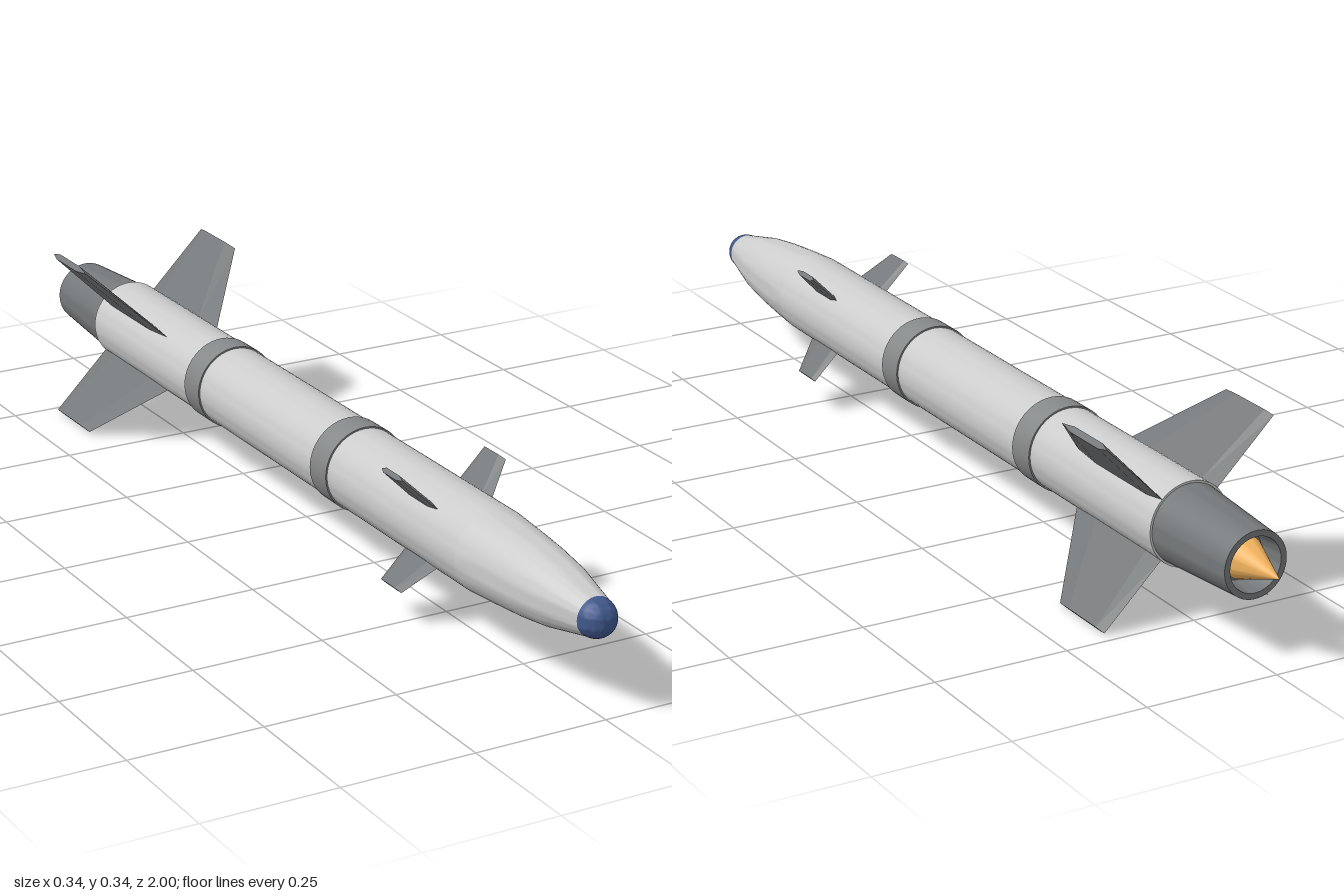
import * as THREE from 'three';
import { toCreasedNormals } from 'three/addons/utils/BufferGeometryUtils.js';

const AXIS_Y = 0.169;
const paint = (color) => new THREE.MeshStandardMaterial({ color });

// Surface of revolution about z from [radius, z] points, listed back to front
function turned(name, points, material) {
  const profile = points.map(([r, z]) => new THREE.Vector2(r, z));
  const geo = new THREE.LatheGeometry(profile, 48).rotateX(Math.PI / 2);
  const mesh = new THREE.Mesh(toCreasedNormals(geo, 0.5), material);
  mesh.name = name;
  return mesh;
}

// Fin with a six-sided section, lofted outward along +x from root to tip
function finGeometry({ root, tip, back, rootFront, tipFront, thickness }) {
  const section = [[0, 0], [0.15, 1], [0.75, 1], [1, 0], [0.75, -1], [0.15, -1]];
  const n = section.length;
  const positions = [];
  for (const [x, front] of [[root, rootFront], [tip, tipFront]]) {
    for (const [t, side] of section) {
      positions.push(x, side * thickness / 2, back + (front - back) * t);
    }
  }
  const index = [];
  for (let i = 0; i < n; i++) {
    const j = (i + 1) % n;
    index.push(i, j, n + j, i, n + j, n + i);
  }
  for (let i = 1; i < n - 1; i++) {
    index.push(0, i + 1, i, n, n + i, n + i + 1);
  }
  const geo = new THREE.BufferGeometry();
  geo.setAttribute('position', new THREE.Float32BufferAttribute(positions, 3));
  geo.setIndex(index);
  return toCreasedNormals(geo, 0.05);
}

// Four fins in an X arrangement
function finSet(name, spec, material) {
  const set = new THREE.Group();
  set.name = name + 's';
  const geo = finGeometry(spec);
  for (let i = 0; i < 4; i++) {
    const fin = new THREE.Mesh(geo, material);
    fin.name = name;
    fin.rotation.z = Math.PI / 4 + i * Math.PI / 2;
    set.add(fin);
  }
  return set;
}

export function createModel() {
  const model = new THREE.Group();
  model.name = 'missile';
  const grey = paint(0xcccccc);
  const darkGrey = paint(0x858889);
  const finGrey = paint(0x75787a);

  // Body tube and curved nose
  model.add(turned('body', [[0, -0.73], [0.078, -0.73], [0.078, 0.65], [0, 0.65]], grey));
  model.add(turned('nose', [
    [0.078, 0.65], [0.073, 0.72], [0.067, 0.79], [0.058, 0.86], [0.036, 0.96], [0, 0.96],
  ], grey));

  // Seeker dome
  const dome = [];
  for (let i = 0; i <= 10; i++) {
    const a = i / 10 * Math.PI / 2;
    dome.push([0.036 * Math.cos(a), 0.96 + 0.04 * Math.sin(a)]);
  }
  model.add(turned('seekerDome', dome, paint(0x40588c)));

  // Raised bands
  for (const z of [0.185, -0.305]) {
    const [a, b] = [z - 0.029, z + 0.029];
    model.add(turned('band', [[0.077, a], [0.081, a], [0.081, b], [0.077, b]], darkGrey));
  }

  // Hollow nozzle with the exhaust cone inside
  model.add(turned('nozzle', [
    [0, -0.88], [0.045, -0.88], [0.05, -0.93], [0.061, -0.93], [0.074, -0.73], [0, -0.73],
  ], finGrey));
  model.add(turned('exhaustCone', [[0, -1], [0.038, -0.895], [0, -0.895]], paint(0xf2b35e)));

  // Steering fins near the nose, large fins at the tail
  model.add(finSet('frontFin', {
    root: 0.07, tip: 0.147, back: 0.45, rootFront: 0.56, tipFront: 0.52, thickness: 0.01,
  }, finGrey));
  model.add(finSet('tailFin', {
    root: 0.07, tip: 0.233, back: -0.73, rootFront: -0.45, tipFront: -0.585, thickness: 0.012,
  }, finGrey));

  for (const part of model.children) part.position.y = AXIS_Y;
  return model;
}
